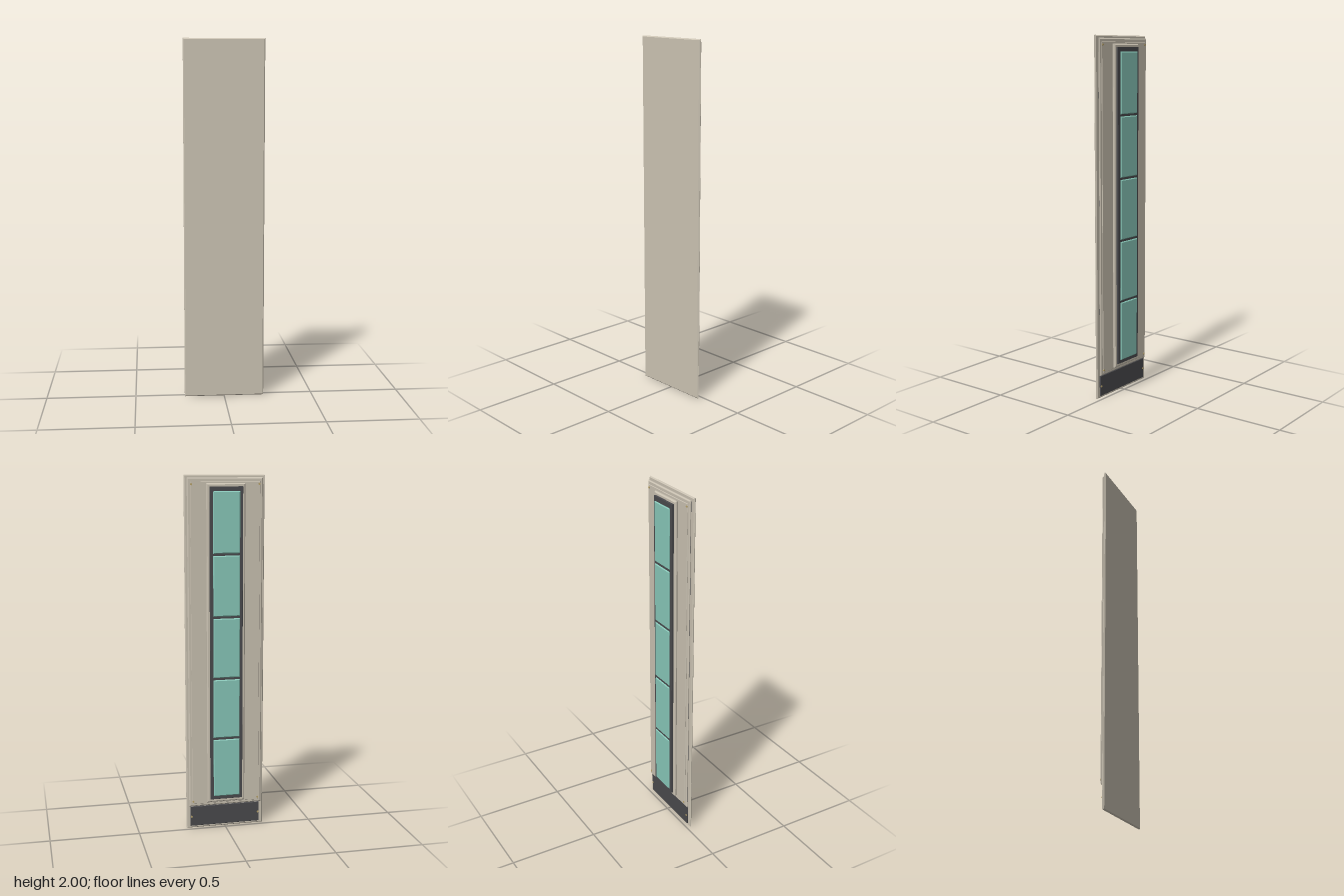
import * as THREE from 'three';

const material = (name, color) => {
  const m = new THREE.MeshStandardMaterial({ color });
  m.name = name;
  return m;
};

// Slab with chamfered edges, filling x = +-halfWidth and the given y and z ranges
function chamferedSlab(halfWidth, y0, y1, z0, z1, bevel) {
  const w = halfWidth - bevel, a = y0 + bevel, b = y1 - bevel;
  const shape = new THREE.Shape();
  shape.moveTo(-w, a);
  shape.lineTo(w, a);
  shape.lineTo(w, b);
  shape.lineTo(-w, b);
  shape.closePath();
  const depth = Math.min(bevel, (z1 - z0) * 0.45);
  const geometry = new THREE.ExtrudeGeometry(shape, {
    depth: z1 - z0 - 2 * depth,
    bevelEnabled: true, bevelSegments: 1, bevelSize: bevel, bevelThickness: depth,
  });
  geometry.translate(0, 0, z0 + depth);
  return geometry;
}

export function createModel() {
  const model = new THREE.Group();
  model.name = 'wallPanel';

  const stone = material('warm stone', 0xcac2b2);
  const dark = material('dark metal', 0x4a4a4d);
  const glass = material('teal glass', 0x88c8b9);
  const brass = material('brass', 0xb8a36c);

  const add = (name, geometry, mat) => {
    const mesh = new THREE.Mesh(geometry, mat);
    mesh.name = name;
    model.add(mesh);
    return mesh;
  };
  const slab = (name, mat, ...size) => add(name, chamferedSlab(...size), mat);

  // Stepped body, from the flat front towards the back
  slab('frontSlab', stone, 0.224, 0, 2, 0.02, 0.033, 0.006);
  slab('shadowGap', dark, 0.198, 0.14, 1.975, 0.013, 0.021, 0.001);
  slab('middleSlab', stone, 0.21, 0.135, 1.985, 0.004, 0.015, 0.006);
  slab('innerPanel', stone, 0.194, 0.15, 1.965, 0.0, 0.005, 0.002);

  // Window surround and its dark backing
  slab('windowFrame', stone, 0.108, 0.16, 1.955, -0.017, 0.001, 0.006);
  slab('windowBacking', dark, 0.092, 0.18, 1.938, -0.028, -0.016, 0.001);

  // Column of five panes
  const pitch = 0.345;
  for (let i = 0; i < 5; i++) {
    const y = 0.2 + i * pitch;
    slab('windowPane', glass, 0.075, y, y + 0.333, -0.036, -0.027, 0.005);
  }

  // Kick plate at the foot
  slab('kickPlate', dark, 0.202, 0.014, 0.13, 0.013, 0.021, 0.002);

  // Rivets on the panel corners and on the kick plate
  const rivetShape = new THREE.CylinderGeometry(0.006, 0.006, 0.008, 8).rotateX(Math.PI / 2);
  for (const side of [-1, 1]) {
    for (const y of [0.165, 1.95]) {
      add('panelRivet', rivetShape, brass).position.set(side * 0.188, y, 0.001);
    }
    add('kickRivet', rivetShape, brass).position.set(side * 0.195, 0.07, 0.014);
  }

  return model;
}
